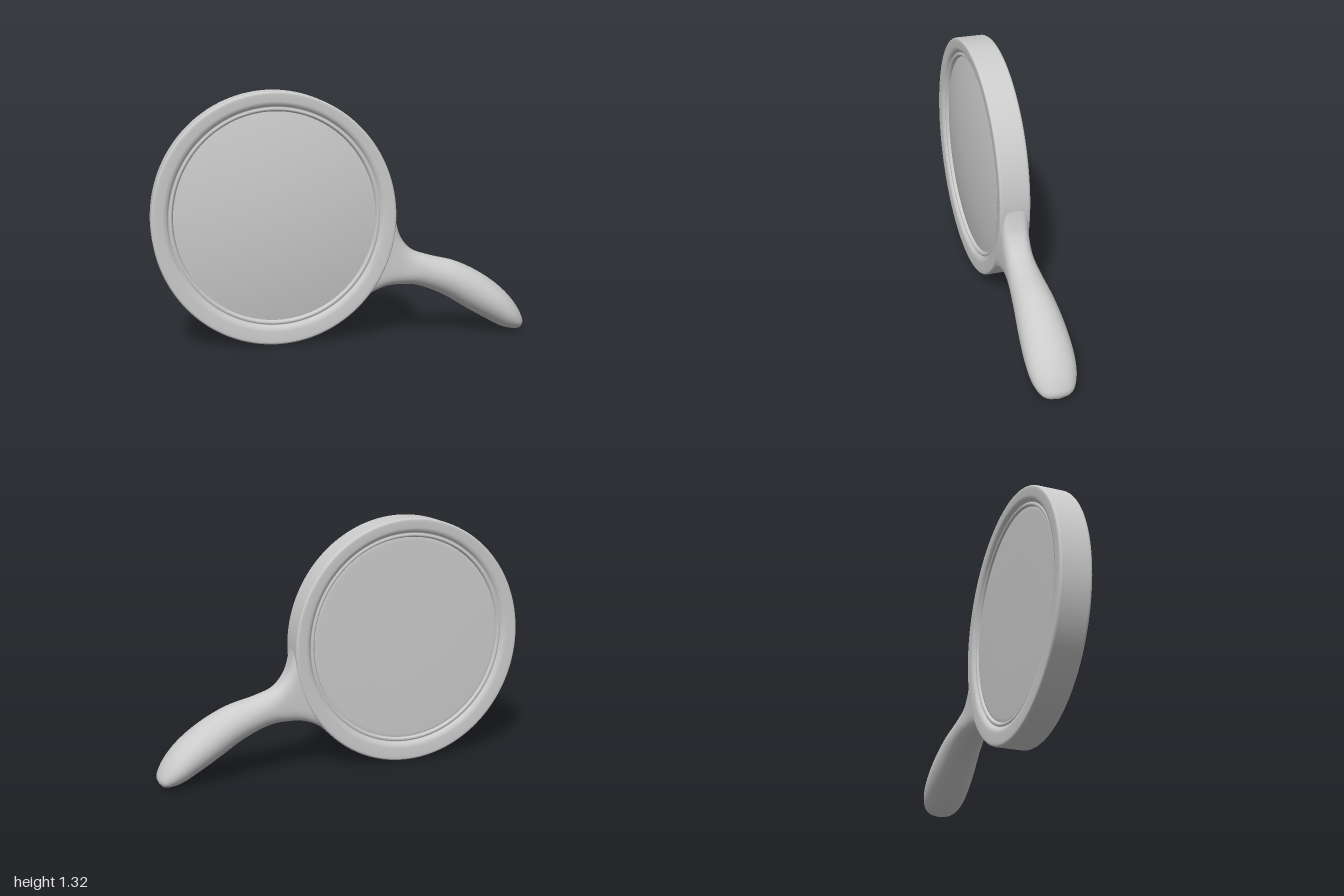
import * as THREE from 'three';

const CX = -0.364, CY = 0.66, RX = 0.636, RY = 0.66;
const grey = () => new THREE.MeshStandardMaterial({ color: 0xcccccc, roughness: 0.7 });

// Oval turned part: profile of [radius fraction, z], running from back to front
function ovalLathe(name, profile) {
  const geo = new THREE.LatheGeometry(profile.map(p => new THREE.Vector2(...p)), 128);
  geo.rotateX(Math.PI / 2);
  geo.scale(RX, RY, 1);
  const pos = geo.attributes.position;
  // the inner opening sits slightly above the centre of the rim
  for (let i = 0; i < pos.count; i++) {
    const r = Math.hypot(pos.getX(i) / RX, pos.getY(i) / RY);
    const k = 1 - THREE.MathUtils.smoothstep(r, 0.88, 0.96);
    pos.setXYZ(i, pos.getX(i) + 0.003 * k, pos.getY(i) + 0.012 * k, pos.getZ(i));
  }
  const mesh = new THREE.Mesh(geo, grey());
  mesh.name = name;
  mesh.position.set(CX, CY, 0);
  return mesh;
}

// Handle sections: upper x, upper y, lower x, lower y, half depth, squareness exponent
const SECTIONS = [
  [0.262, 0.72, 0.05, 0.168, 0.077, 0.4],
  [0.280, 0.62, 0.12, 0.228, 0.076, 0.45],
  [0.310, 0.535, 0.20, 0.268, 0.075, 0.55],
  [0.370, 0.468, 0.30, 0.280, 0.077, 0.75],
  [0.470, 0.430, 0.42, 0.265, 0.088, 0.95],
  [0.620, 0.390, 0.55, 0.210, 0.105, 1],
  [0.760, 0.320, 0.68, 0.130, 0.120, 1],
  [0.880, 0.230, 0.80, 0.060, 0.124, 1],
  [0.955, 0.145, 0.88, 0.018, 0.112, 1],
  [0.994, 0.072, 0.94, 0.004, 0.082, 1],
  [0.999, 0.045, 0.966, 0.004, 0.054, 1],
  [0.990, 0.018, 0.990, 0.018, 0, 1],
];

function makeHandle() {
  const sides = 40, steps = 66;
  const curve = cols => new THREE.CatmullRomCurve3(
    SECTIONS.map(s => new THREE.Vector3(...cols.map(c => s[c]))));
  const upper = curve([0, 1, 4]), lower = curve([2, 3, 5]);
  const spow = (v, e) => Math.sign(v) * Math.pow(Math.abs(v), e);
  const verts = [], index = [];
  for (let i = 0; i <= steps; i++) {
    const u = upper.getPoint(i / steps), l = lower.getPoint(i / steps);
    for (let j = 0; j < sides; j++) {
      const a = (j / sides) * Math.PI * 2;
      const t = (1 + spow(Math.cos(a), l.z)) / 2;
      verts.push(l.x + (u.x - l.x) * t, Math.max(0, l.y + (u.y - l.y) * t),
        spow(Math.sin(a), l.z) * Math.max(0, u.z));
      if (i < steps) {
        const p = i * sides + j, q = i * sides + (j + 1) % sides;
        index.push(p, p + sides, q, q, p + sides, q + sides);
      }
    }
  }
  const geo = new THREE.BufferGeometry();
  geo.setAttribute('position', new THREE.Float32BufferAttribute(verts, 3));
  geo.setIndex(index);
  geo.computeVertexNormals();
  const mesh = new THREE.Mesh(geo, grey());
  mesh.material.side = THREE.DoubleSide;
  mesh.name = 'handle';
  return mesh;
}

export function createModel() {
  const group = new THREE.Group();
  group.name = 'handMirror';

  // Rim: rounded outer edge, groove and bead around the opening, same on both faces
  const face = [
    [1, 0.066], [0.999, 0.073], [0.993, 0.079], [0.985, 0.081], [0.97, 0.081],
    [0.91, 0.08], [0.885, 0.076], [0.871, 0.066], [0.864, 0.058], [0.857, 0.062],
    [0.845, 0.066], [0.834, 0.062], [0.828, 0.052], [0.824, 0.04],
  ];
  const back = face.map(([r, z]) => [r, -z]).reverse();
  group.add(ovalLathe('rim', [...back, ...face]));

  // Front glass: gently domed
  const dome = [];
  for (let i = 0; i <= 16; i++) {
    const f = 1 - i / 16;
    dome.push([0.83 * f, 0.1 - 0.052 * f * f]);
  }
  group.add(ovalLathe('frontGlass', dome));

  // Back panel: flat
  group.add(ovalLathe('backPanel', [[0, -0.058], [0.4, -0.058], [0.8, -0.056], [0.83, -0.052]]));

  group.add(makeHandle());
  return group;
}
